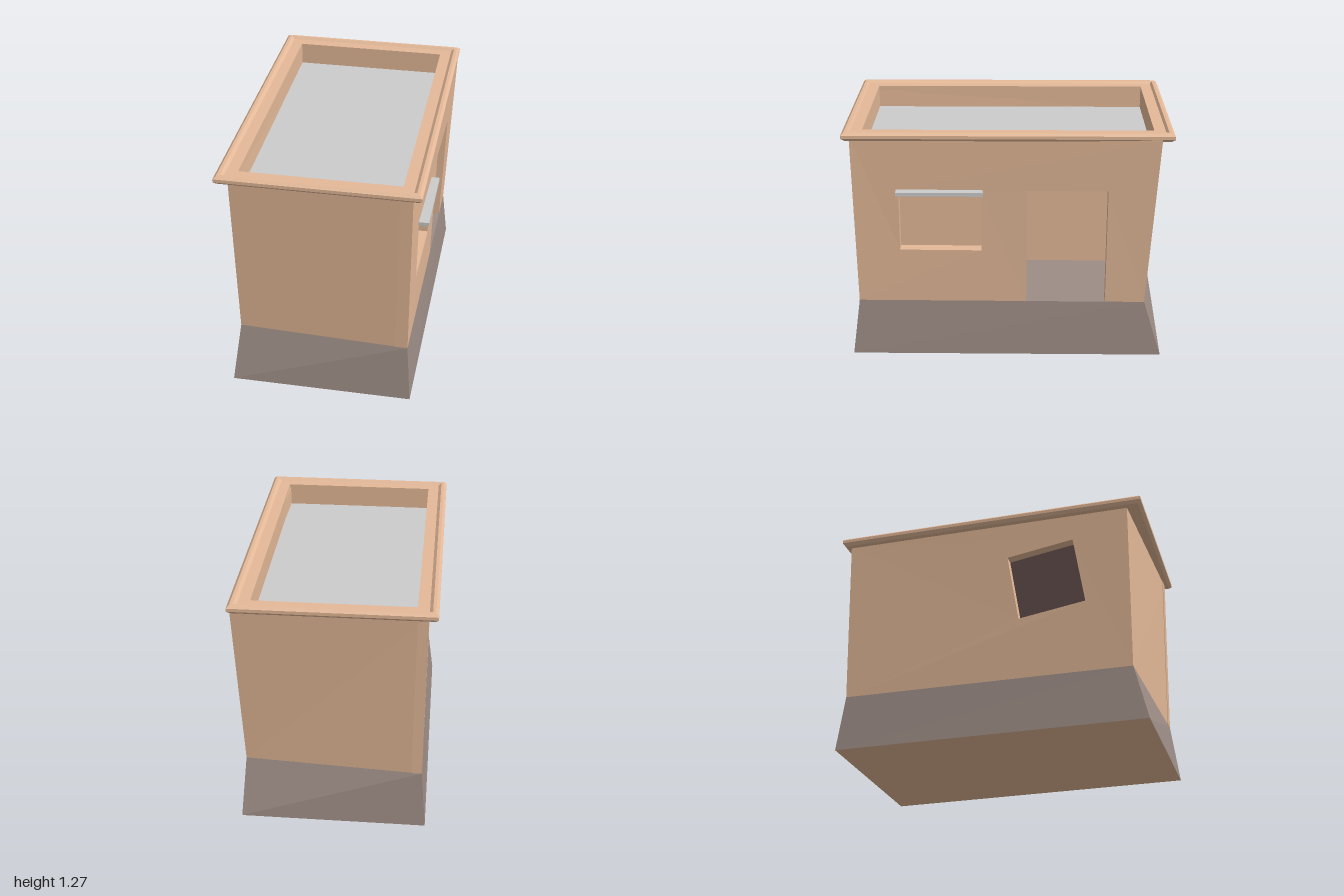
import * as THREE from 'three';

const mat = (color) => new THREE.MeshStandardMaterial({ color, flatShading: true, side: THREE.DoubleSide });
const CLAY = mat(0xe4b998), STONE = mat(0x9d8d86), GREY = mat(0xcccccc), DARK = mat(0x5f4c49);

// Corner rings [x, z], in order: back left, front left, front right, back right
const Y_BASE = 0.31, Y_TOP = 1.24;
const ground = [[-0.842, -0.475], [-0.845, 0.487], [0.832, 0.492], [0.836, -0.486]];
const sill = [[-0.764, -0.44], [-0.804, 0.4625], [0.736, 0.472], [0.802, -0.461]];
const top = [[-0.773, -0.468], [-0.82, 0.471], [0.792, 0.515], [0.82, -0.471]];
const at = (p, y) => [p[0], y, p[1]];

// Mesh from four-cornered faces
function faces(name, quads, material) {
  const pos = [];
  for (const [a, b, c, d] of quads) pos.push(...a, ...b, ...c, ...a, ...c, ...d);
  const g = new THREE.BufferGeometry();
  g.setAttribute('position', new THREE.Float32BufferAttribute(pos, 3));
  g.computeVertexNormals();
  const m = new THREE.Mesh(g, material);
  m.name = name;
  return m;
}

// Quad between two rings on side i
function side(lo, yLo, hi, yHi, i) {
  const j = (i + 1) % 4;
  return [at(lo[i], yLo), at(lo[j], yLo), at(hi[j], yHi), at(hi[i], yHi)];
}

// Rectangle ring of corners
const rect = (w, d) => [[-w, -d], [-w, d], [w, d], [w, -d]];

// Thick leaning wall with openings; l and r are [x, z] at the base, tl and tr at the top
function wall(name, l, r, tl, tr, notch, hole, depth) {
  const pts = [l, ...notch, r].map((p, i, a) =>
    new THREE.Vector2(p[0], i === 0 || i === a.length - 1 ? Y_BASE : p[1]));
  pts.push(new THREE.Vector2(tr[0], Y_TOP), new THREE.Vector2(tl[0], Y_TOP));
  const shape = new THREE.Shape(pts);
  shape.holes.push(new THREE.Path(hole));
  const g = new THREE.ExtrudeGeometry(shape, { depth, bevelEnabled: false });
  const p = g.attributes.position;
  for (let i = 0; i < p.count; i++) {
    const x = p.getX(i), t = (p.getY(i) - Y_BASE) / (Y_TOP - Y_BASE);
    const lo = THREE.MathUtils.mapLinear(x, l[0], r[0], l[1], r[1]);
    const hi = THREE.MathUtils.mapLinear(x, tl[0], tr[0], tl[1], tr[1]);
    p.setZ(i, p.getZ(i) - depth + THREE.MathUtils.lerp(lo, hi, t));
  }
  g.computeVertexNormals();
  const m = new THREE.Mesh(g, CLAY);
  m.name = name;
  return m;
}

// Corners of a rectangle turned about its centre, clockwise
function opening(cx, cy, w, h, angle = 0) {
  return [[-1, -1], [-1, 1], [1, 1], [1, -1]].map(([a, b]) =>
    new THREE.Vector2(a * w / 2, b * h / 2)
      .rotateAround(new THREE.Vector2(), angle).add(new THREE.Vector2(cx, cy)));
}

export function createModel() {
  const model = new THREE.Group();
  model.name = 'clayHouse';
  const house = new THREE.Group();
  house.name = 'house';
  house.rotation.y = 0.466;
  model.add(house);

  // Flared stone base and underside
  house.add(faces('base', [0, 1, 2, 3].map((i) => side(ground, 0, sill, Y_BASE, i)), STONE));
  house.add(faces('underside', [[3, 2, 1, 0].map((i) => at(ground[i], 0))], CLAY));

  // Side walls
  house.add(faces('sideWalls', [0, 2].map((i) => side(sill, Y_BASE, top, Y_TOP, i)), CLAY));

  // Front wall with doorway and window
  house.add(wall('frontWall', sill[1], sill[2], top[1], top[2],
    [[0.099, Y_BASE], [0.099, 0.955], [0.524, 0.955], [0.524, Y_BASE]],
    opening(-0.357, 0.78, 0.434, 0.34), 0.065));

  // Back wall with crooked window, built facing front and turned round
  const flip = ([x, z]) => [-x, -z];
  const back = new THREE.Group();
  back.name = 'back';
  back.rotation.y = Math.PI;
  back.add(wall('backWall', flip(sill[3]), flip(sill[0]), flip(top[3]), flip(top[0]),
    [], opening(0.315, 0.87, 0.37, 0.38, 0.155), 0.055));
  const pane = new THREE.Mesh(new THREE.PlaneGeometry(0.42, 0.43), DARK);
  pane.name = 'backWindowPane';
  pane.position.set(0.315, 0.87, 0.39);
  pane.rotation.z = 0.155;
  back.add(pane);
  house.add(back);

  // Room behind the front wall
  const room = [[-0.67, -0.08], [-0.67, 0.42], [0.7, 0.42], [0.7, -0.08]];
  const floorRing = [[-0.67, -0.08], sill[1], sill[2], [0.7, -0.08]];
  house.add(faces('roomWalls', [0, 2, 3].map((i) => side(room, Y_BASE, room, 1.12, i)), CLAY));
  house.add(faces('roomFloor', [floorRing.map((p) => at(p, Y_BASE))], STONE));

  // Sunken flat roof
  const roof = new THREE.Mesh(new THREE.PlaneGeometry(1.512, 0.826).rotateX(-Math.PI / 2), GREY);
  roof.name = 'roof';
  roof.position.y = 1.14;
  house.add(roof);

  // Parapet and moulded cornice: [half width, half depth, height] from inside to underside
  const profile = [
    [0.756, 0.413, 1.14], [0.756, 0.413, 1.262], [0.815, 0.472, 1.262], [0.826, 0.488, 1.275],
    [0.842, 0.504, 1.275], [0.856, 0.518, 1.262], [0.856, 0.518, 1.245], [0.84, 0.502, 1.23],
    [0.756, 0.413, 1.235],
  ];
  const trim = [];
  for (let k = 0; k < profile.length - 1; k++) {
    const [w0, d0, y0] = profile[k], [w1, d1, y1] = profile[k + 1];
    for (let i = 0; i < 4; i++) trim.push(side(rect(w1, d1), y1, rect(w0, d0), y0, i));
  }
  house.add(faces('cornice', trim, CLAY));

  // Slab over the front window
  const lintel = new THREE.Mesh(new THREE.BoxGeometry(0.455, 0.02, 0.08), GREY);
  lintel.name = 'windowLintel';
  lintel.position.set(-0.358, 0.945, 0.486);
  house.add(lintel);

  return model;
}
